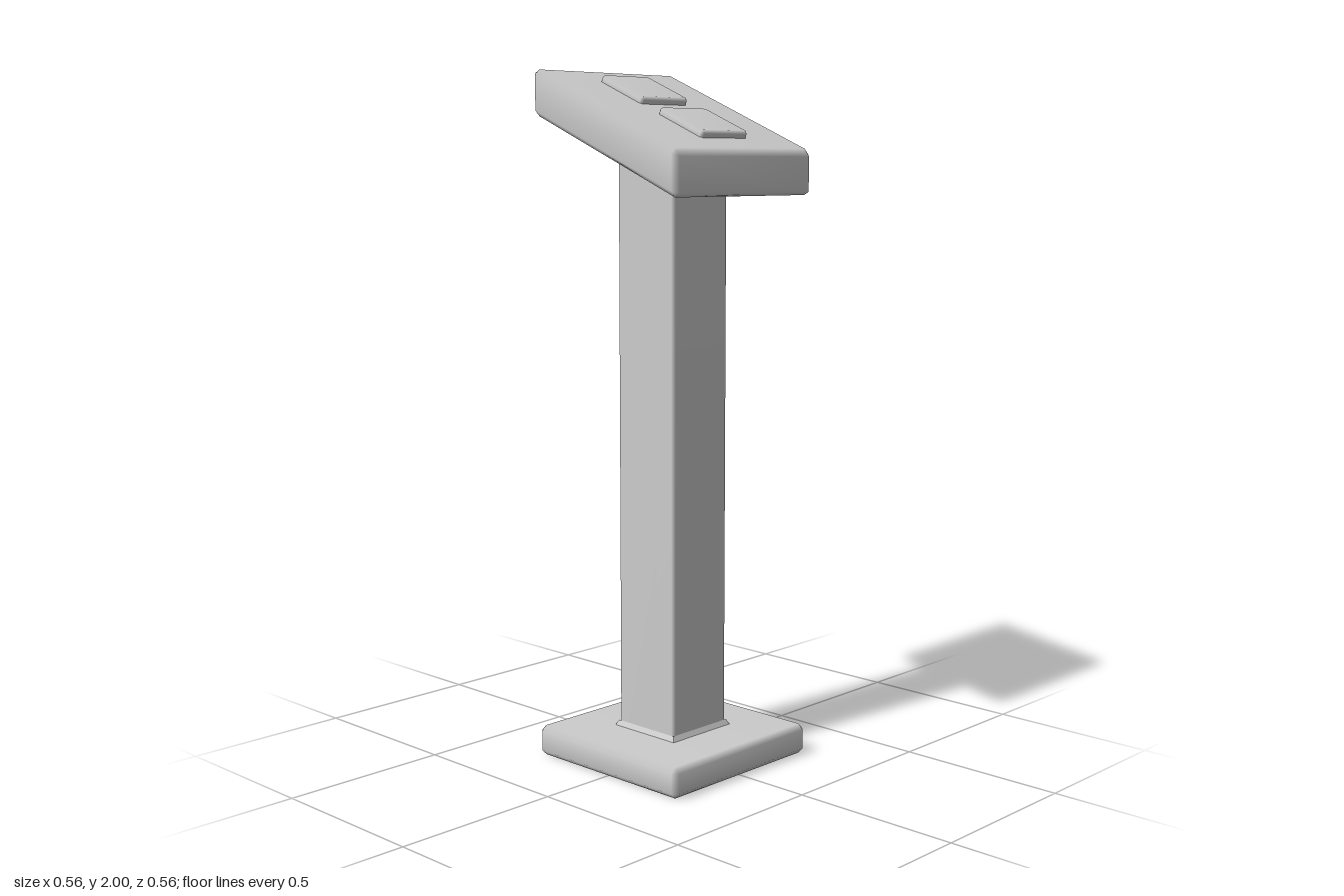
import * as THREE from 'three';
import { ConvexGeometry } from 'three/addons/geometries/ConvexGeometry.js';
import { mergeVertices } from 'three/addons/utils/BufferGeometryUtils.js';

const SLOPE = 0.415; // rise of the head towards the back
const HEAD_TOP = 1.89; // height of the head's upper face at its centre

// Box with chamfered edges and smooth normals; slope shears it upwards towards the back.
function chamferBox(w, h, d, c, slope = 0) {
  const half = [w / 2, h / 2, d / 2];
  const points = [];
  for (const sx of [-1, 1]) for (const sy of [-1, 1]) for (const sz of [-1, 1]) {
    for (let axis = 0; axis < 3; axis++) {
      const [x, y, z] = half.map((v, i) => (i === axis ? v : v - c));
      points.push(new THREE.Vector3(sx * x, sy * y, sz * z));
    }
  }
  let geometry = new ConvexGeometry(points);
  geometry.deleteAttribute('normal');
  geometry = mergeVertices(geometry, 1e-5);
  const pos = geometry.attributes.position;
  for (let i = 0; i < pos.count; i++) pos.setY(i, pos.getY(i) - slope * pos.getZ(i));
  geometry.computeVertexNormals();
  return geometry;
}

export function createModel() {
  const group = new THREE.Group();
  const material = new THREE.MeshStandardMaterial({ color: 0xcccccc });

  const add = (name, geometry, y, z = 0) => {
    const mesh = new THREE.Mesh(geometry, material);
    mesh.name = name;
    mesh.position.set(0, y, z);
    group.add(mesh);
    return mesh;
  };

  // Square foot plate
  add('base', chamferBox(0.562, 0.09, 0.562, 0.016), 0.045);

  // Square post, its top buried in the head
  add('post', chamferBox(0.224, 1.77, 0.224, 0.009), 0.945);

  // Small flare where the post meets the base
  const flare = new THREE.CylinderGeometry(0.112 * Math.SQRT2, 0.12 * Math.SQRT2, 0.016, 4, 1, true);
  flare.rotateY(Math.PI / 4);
  add('postFlare', flare.toNonIndexed(), 0.097).geometry.computeVertexNormals();

  // Sloping head with upright sides
  add('head', chamferBox(0.562, 0.13, 0.562, 0.016, SLOPE), HEAD_TOP - 0.065);

  // Two raised pads lying on the slope
  for (const [name, z] of [['lowerPad', 0.115], ['upperPad', -0.115]]) {
    const pad = add(name, chamferBox(0.188, 0.04, 0.18, 0.008), HEAD_TOP - SLOPE * z, z);
    pad.rotation.x = Math.atan(SLOPE);
  }
  return group;
}
